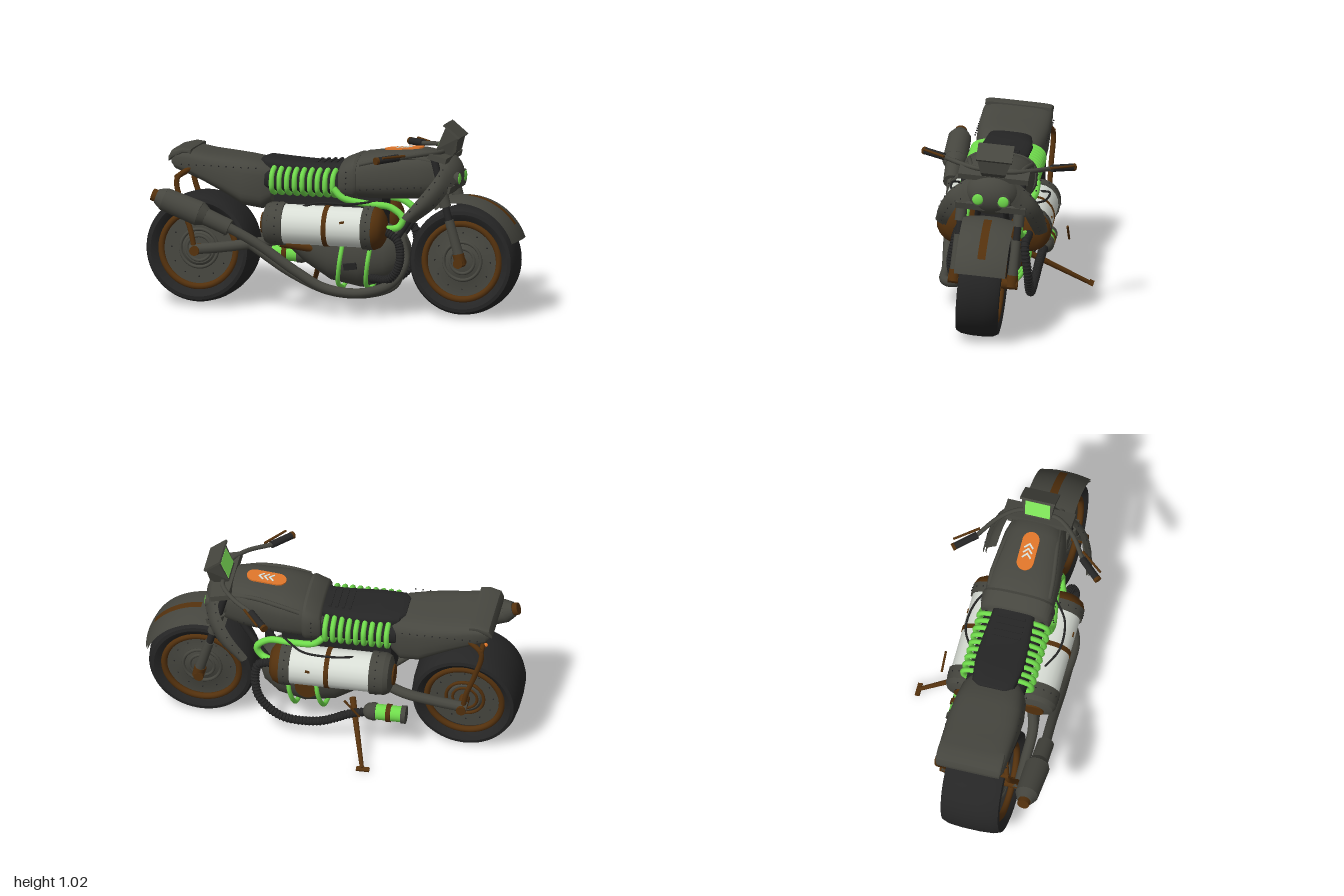
import * as THREE from 'three';
import { mergeGeometries, toCreasedNormals } from 'three/addons/utils/BufferGeometryUtils.js';
import { ParametricGeometry } from 'three/addons/geometries/ParametricGeometry.js';

const V = (p) => new THREE.Vector3(...p);
const paint = (name, color) => Object.assign(new THREE.MeshStandardMaterial({ color, side: THREE.DoubleSide }), { name });

export function createModel() {
  const grey = paint('gunmetal', 0x46463f), brown = paint('rust brown', 0x54310d), black = paint('rubber black', 0x252525);
  const green = paint('signal green', 0x70dc4c), white = paint('off white', 0xd9ded6), orange = paint('badge orange', 0xe0762a);
  const glow = paint('screen green', 0x8cfa62);
  const bike = new THREE.Group();
  bike.name = 'leaningBike';
  const rivets = [];

  function add(name, geo, mat, pos = [0, 0, 0], rot = [0, 0, 0]) {
    const m = new THREE.Mesh(geo, mat);
    m.name = name;
    m.position.set(...pos);
    m.rotation.set(...rot);
    bike.add(m);
    return m;
  }
  const box = (name, size, mat, pos, rot) => add(name, new THREE.BoxGeometry(...size), mat, pos, rot);
  function rod(name, a, b, r0, r1, mat) {
    const d = V(b).sub(V(a));
    const m = add(name, new THREE.CylinderGeometry(r1, r0, d.length(), 20), mat, V(a).add(V(b)).multiplyScalar(0.5).toArray());
    m.quaternion.setFromUnitVectors(new THREE.Vector3(0, 1, 0), d.normalize());
  }
  const curveOf = (pts) => new THREE.CatmullRomCurve3(pts.map(V));
  const tube = (name, pts, r, mat) => add(name, new THREE.TubeGeometry(curveOf(pts), 48, r, 10), mat);
  // Corrugated hose: a tube with rings along it
  function hose(name, pts, r, mat, n) {
    const c = curveOf(pts), parts = [new THREE.TubeGeometry(c, 48, r * 0.85, 10)];
    for (let i = 0; i <= n; i++) {
      const q = new THREE.Quaternion().setFromUnitVectors(new THREE.Vector3(0, 0, 1), c.getTangentAt(i / n));
      const p = c.getPointAt(i / n);
      parts.push(new THREE.TorusGeometry(r * 0.75, r * 0.25, 6, 12).applyQuaternion(q).translate(p.x, p.y, p.z));
    }
    add(name, mergeGeometries(parts), mat);
  }
  const superPoint = (t, p) => [Math.cos(t), Math.sin(t)].map((c) => Math.sign(c) * Math.abs(c) ** (2 / p));
  // Body lofted along x from sections [x, bottom, top, halfWidth]
  function loft(name, sections, mat, power = 2.8, n = 36) {
    const pos = [], idx = [], rows = sections.length;
    for (const [x, lo, hi, w] of sections) for (let i = 0; i < n; i++) {
      const [c, s] = superPoint((i / n) * Math.PI * 2, power);
      pos.push(x, (lo + hi) / 2 + s * (hi - lo) / 2, c * w);
    }
    for (const [x, lo, hi] of [sections[0], sections[rows - 1]]) pos.push(x, (lo + hi) / 2, 0);
    for (let i = 0; i < n; i++) {
      const j = (i + 1) % n, end = (rows - 1) * n;
      for (let r = 0; r < end; r += n) idx.push(r + i, r + i + n, r + j, r + j, r + i + n, r + j + n);
      idx.push(rows * n, i, j, rows * n + 1, end + j, end + i);
    }
    const g = new THREE.BufferGeometry();
    g.setAttribute('position', new THREE.Float32BufferAttribute(pos, 3));
    g.setIndex(idx);
    return add(name, toCreasedNormals(g, 0.7), mat);
  }
  const lathe = (pts, n = 48) => toCreasedNormals(new THREE.LatheGeometry(pts.map((p) => new THREE.Vector2(...p)), n), 0.6);
  const ringRivets = (x, y, z, r, n) => {
    for (let i = 0; i < n; i++) rivets.push([x, y + r * Math.sin(i / n * 6.283), z + r * Math.cos(i / n * 6.283)]);
  };

  // Wheels
  function wheel(name, x, w, innerRing) {
    const y = 0.297, R = 0.287;
    const tyre = lathe([[0.2, -w * 0.7], [0.23, -w * 0.92], [0.25, -w], [0.268, -w * 0.97], [0.281, -w * 0.75], [R, -w * 0.3],
      [R, w * 0.3], [0.281, w * 0.75], [0.268, w * 0.97], [0.25, w], [0.23, w * 0.92], [0.2, w * 0.7]], 64);
    add(name + 'Tyre', tyre.rotateX(Math.PI / 2), black, [x, y, 0]);
    for (const s of [1, -1]) {
      add(name + 'Rim', new THREE.TorusGeometry(0.2, 0.017, 10, 56), brown, [x, y, s * w * 0.78]);
      add(name + 'Disc', lathe([[0, w * 0.72], [0.08, w * 0.72], [0.1, w * 0.62], [0.195, w * 0.62]]).rotateX(s * Math.PI / 2), grey, [x, y, 0]);
      for (const r of [0.1, 0.065]) add(name + 'HubRing', new THREE.TorusGeometry(r, 0.009, 8, 36), s < 0 ? innerRing : grey, [x, y, s * w * 0.7]);
      for (let i = 0; i < 12; i++) rivets.push([x + 0.15 * Math.cos(i * 0.5236), y + 0.15 * Math.sin(i * 0.5236), s * w * 0.63]);
      rod(name + 'AxleCap', [x, y, s * 0.1], [x, y, s * (w + 0.07)], 0.028, 0.026, brown);
    }
  }
  wheel('rear', -0.713, 0.16, brown);
  wheel('front', 0.693, 0.113, grey);

  // Front fender with centre stripe
  const arcBand = (r, w, a0, a1, crown) => new ParametricGeometry((u, v, t) => {
    const a = a0 + (a1 - a0) * u, k = v * 2 - 1, q = r - crown * k * k;
    t.set(0.68 + q * Math.cos(a), 0.3 + q * Math.sin(a), k * w);
  }, 32, 10);
  add('frontFender', arcBand(0.335, 0.135, 0.36, 1.95, 0.015), grey);
  add('fenderLining', arcBand(0.325, 0.134, 0.36, 1.95, 0.015), grey);
  add('fenderStripe', arcBand(0.339, 0.021, 0.62, 1.5, 0), brown);

  // Fork, clamps, shields, lamps and handlebar
  for (const s of [1, -1]) {
    rod('forkFoot', [0.702, 0.285, s * 0.152], [0.688, 0.345, s * 0.152], 0.03, 0.03, brown);
    rod('forkLower', [0.69, 0.34, s * 0.152], [0.635, 0.52, s * 0.152], 0.027, 0.024, grey);
    rod('forkUpper', [0.64, 0.5, s * 0.152], [0.545, 0.85, s * 0.152], 0.019, 0.019, black);
    rod('forkSleeve', [0.615, 0.59, s * 0.152], [0.58, 0.72, s * 0.152], 0.03, 0.03, grey);
    const outer = curveOf([[0.6, 0.83, s * 0.12], [0.57, 0.75, s * 0.21], [0.5, 0.65, s * 0.265], [0.41, 0.54, s * 0.285]]);
    const inner = curveOf([[0.66, 0.72, s * 0.12], [0.63, 0.67, s * 0.185], [0.57, 0.59, s * 0.225], [0.47, 0.51, s * 0.25]]);
    for (const off of [0, 0.014]) add('forkShield', new ParametricGeometry((u, v, t) => {
      t.copy(outer.getPoint(u)).lerp(inner.getPoint(u), v);
      t.z += s * (0.026 * Math.sin(Math.PI * v) - off);
    }, 20, 8), grey);
    for (let i = 1; i < 8; i++) for (const v of [0.15, 0.85]) {
      const p = outer.getPoint(i / 8).lerp(inner.getPoint(i / 8), v);
      rivets.push([p.x, p.y, p.z + s * 0.012]);
    }
    add('headlamp', new THREE.SphereGeometry(0.03, 20, 14).scale(0.35, 1, 1), green, [0.664, 0.73, s * 0.067]);
    rod('headlampRing', [0.6, 0.73, s * 0.067], [0.666, 0.73, s * 0.067], 0.042, 0.036, grey);
    tube('handlebar', [[0.57, 0.865, 0], [0.57, 0.87, s * 0.1], [0.5, 0.868, s * 0.2], [0.38, 0.855, s * 0.29]], 0.012, grey);
    rod('grip', [0.385, 0.856, s * 0.285], [0.3, 0.848, s * 0.385], 0.019, 0.019, black);
    rod('gripEnd', [0.3, 0.848, s * 0.385], [0.29, 0.847, s * 0.397], 0.02, 0.02, brown);
    rod('lever', [0.42, 0.866, s * 0.28], [0.33, 0.866, s * 0.4], 0.007, 0.006, brown);
  }
  box('upperClamp', [0.1, 0.03, 0.37], grey, [0.57, 0.845, 0], [0, 0, -0.25]);
  box('lowerClamp', [0.08, 0.035, 0.37], grey, [0.605, 0.69, 0], [0, 0, -0.25]);
  add('lampHousing', new THREE.SphereGeometry(1, 32, 20).scale(0.108, 0.115, 0.145), grey, [0.565, 0.745, 0]);

  // Instrument screen in a housing that narrows downward
  const hood = new THREE.Shape([[0.54, 0.88], [0.56, 0.845], [0.61, 0.838], [0.645, 0.87], [0.658, 0.945], [0.592, 1]].map((p) => new THREE.Vector2(...p)));
  const housing = new THREE.ExtrudeGeometry(hood, { depth: 0.18, bevelEnabled: false }).translate(0, 0, -0.09);
  const hp = housing.attributes.position;
  for (let i = 0; i < hp.count; i++) hp.setZ(i, hp.getZ(i) * Math.min(1, 0.62 + (hp.getY(i) - 0.838) * 4));
  housing.computeVertexNormals();
  add('screenHousing', housing, grey);
  box('screenHood', [0.11, 0.012, 0.19], grey, [0.625, 0.978, 0], [0, 0, -0.68]);
  box('screen', [0.006, 0.1, 0.135], glow, [0.566, 0.938, 0], [0, 0, -0.409]);

  // Fuel tank, collar and badge
  loft('fuelTank', [[0.03, 0.63, 0.75, 0.15], [0.09, 0.605, 0.8, 0.175], [0.15, 0.6, 0.84, 0.185], [0.25, 0.6, 0.855, 0.187],
    [0.46, 0.61, 0.875, 0.165], [0.55, 0.63, 0.862, 0.14], [0.62, 0.67, 0.81, 0.09], [0.65, 0.71, 0.77, 0.04]], grey);
  loft('tankCollar', [[0.04, 0.605, 0.79, 0.18], [0.05, 0.595, 0.805, 0.188], [0.12, 0.585, 0.835, 0.197], [0.135, 0.595, 0.83, 0.19]], grey);
  for (const s of [1, -1]) {
    tube('tankRib', [[0.15, 0.79, s * 0.165], [0.25, 0.815, s * 0.16], [0.4, 0.835, s * 0.14], [0.53, 0.82, s * 0.12]], 0.012, grey);
    for (let i = 0; i < 10; i++) rivets.push([0.16 + i * 0.036, 0.66 + i * 0.003, s * (0.184 - i * 0.002)]);
    for (let i = 0; i < 5; i++) rivets.push([0.085, 0.63 + i * 0.03, s * 0.193]);
  }
  const pill = new THREE.Shape();
  pill.absarc(0.06, 0, 0.045, -Math.PI / 2, Math.PI / 2).absarc(-0.06, 0, 0.045, Math.PI / 2, Math.PI * 1.5);
  add('badge', new THREE.ExtrudeGeometry(pill, { depth: 0.008, bevelEnabled: false }).rotateX(-Math.PI / 2).rotateZ(0.095), orange, [0.355, 0.864, 0]);
  for (let i = -1; i <= 1; i++) for (const s of [1, -1])
    box('badgeChevron', [0.036, 0.004, 0.009], white, [0.355 + i * 0.027, 0.873 + i * 0.0026, s * 0.011], [0, s * 0.8, 0.095]);

  // Seat, ribbed side bellows and tail
  loft('seatCore', [[-0.36, 0.61, 0.75, 0.16], [0.05, 0.61, 0.745, 0.165]], black);
  loft('saddle', [[-0.4, 0.72, 0.785, 0.08], [-0.37, 0.71, 0.795, 0.115], [-0.25, 0.7, 0.785, 0.132], [-0.12, 0.7, 0.778, 0.128], [-0.04, 0.7, 0.78, 0.12], [0.06, 0.71, 0.79, 0.11]], black, 3.5);
  for (let i = 0; i < 4; i++) box('saddleRidge', [0.014, 0.008, 0.15], black, [-0.1 + i * 0.035, 0.779 + i * 0.002, 0]);
  for (let i = 0; i < 9; i++) {
    const pts = [];
    for (let k = 0; k < 24; k++) {
      const [c, s] = superPoint((k / 24) * Math.PI * 2, 3);
      pts.push(V([-0.315 + i * 0.041, 0.68 + s * 0.072, c * 0.188]));
    }
    add('bellowsRib', new THREE.TubeGeometry(new THREE.CatmullRomCurve3(pts, true), 64, 0.014, 8, true), green);
  }
  loft('tail', [[-0.86, 0.74, 0.79, 0.165], [-0.84, 0.71, 0.815, 0.178], [-0.76, 0.68, 0.818, 0.185], [-0.68, 0.645, 0.805, 0.187], [-0.58, 0.595, 0.797, 0.19],
    [-0.48, 0.535, 0.788, 0.185], [-0.38, 0.52, 0.775, 0.168], [-0.33, 0.56, 0.75, 0.14]], grey, 4);
  loft('tailLip', [[-0.875, 0.755, 0.785, 0.17], [-0.86, 0.765, 0.815, 0.178], [-0.8, 0.8, 0.83, 0.178], [-0.755, 0.8, 0.825, 0.175]], grey, 6);
  for (let i = 0; i < 11; i++) for (const s of [1, -1]) rivets.push([-0.8 + i * 0.04, 0.745, s * 0.187]);

  // Twin pressure canisters
  for (const s of [1, -1]) {
    const y = 0.462, z = s * 0.187;
    rod('canister', [-0.25, y, z], [0.21, y, z], 0.105, 0.105, white);
    rod('canisterBand', [-0.02, y, z], [0.005, y, z], 0.109, 0.109, brown);
    const cap = lathe([[0.113, 0], [0.113, 0.05], [0.1, 0.08], [0.07, 0.1], [0, 0.11]], 32);
    add('frontDome', cap, brown, [0.2, y, z], [0, 0, -Math.PI / 2]);
    rod('frontCollar', [0.19, y, z], [0.245, y, z], 0.115, 0.115, grey);
    rod('rearCollar', [-0.31, y, z], [-0.235, y, z], 0.112, 0.115, grey);
    add('rearDome', lathe([[0.112, 0], [0.1, 0.025], [0.06, 0.04], [0, 0.042]], 32), grey, [-0.31, y, z], [0, 0, Math.PI / 2]);
    rod('rearValve', [-0.358, y, z], [-0.34, y, z], 0.055, 0.06, brown);
    ringRivets(0.218, y, z, 0.116, 16);
    ringRivets(-0.27, y, z, 0.114, 16);
    box('rustPatch', [0.025, 0.012, 0.006], brown, [0.09, y + 0.035, z + s * 0.099], [0, 0, 0.2]);
    tube('greenHose', [[0.02, 0.66, s * 0.19], [0.07, 0.615, s * 0.19], [0.2, 0.585, s * 0.165], [0.32, 0.57, s * 0.145], [0.385, 0.515, s * 0.145], [0.36, 0.468, s * 0.15], [0.29, 0.46, s * 0.18]], 0.018, green);
    tube('cable', [[-0.14, 0.56, s * 0.2], [-0.04, 0.59, s * 0.255], [0.12, 0.59, s * 0.24], [0.24, 0.6, s * 0.15]], 0.006, black);
    // Swing arm, tail stay and lower frame
    tube('swingArm', [[-0.22, 0.38, s * 0.12], [-0.4, 0.35, s * 0.19], [-0.58, 0.32, s * 0.195], [-0.74, 0.3, s * 0.195]], 0.028, grey);
    rod('swingArmPivot', [-0.1, 0.33, s * 0.11], [-0.27, 0.355, s * 0.15], 0.024, 0.024, brown);
    tube('tailStay', [[-0.75, 0.73, s * 0.17], [-0.82, 0.67, s * 0.19], [-0.785, 0.52, s * 0.195], [-0.74, 0.4, s * 0.2], [-0.72, 0.31, s * 0.2]], 0.014, brown);
    tube('downTube', [[0.5, 0.65, s * 0.07], [0.42, 0.52, s * 0.08], [0.34, 0.4, s * 0.08]], 0.016, black);
  }
  rod('tailCrossbar', [-0.82, 0.68, -0.2], [-0.82, 0.68, 0.2], 0.014, 0.014, brown);
  add('tailLamp', new THREE.SphereGeometry(0.012, 12, 8), orange, [-0.834, 0.682, -0.13]);

  // Engine block and belly
  box('engineCore', [0.58, 0.28, 0.2], black, [-0.03, 0.48, 0]);
  loft('belly', [[-0.28, 0.34, 0.42, 0.06], [-0.16, 0.24, 0.48, 0.12], [-0.02, 0.155, 0.5, 0.155], [0.14, 0.125, 0.5, 0.165],
    [0.28, 0.16, 0.46, 0.145], [0.36, 0.22, 0.42, 0.1], [0.39, 0.28, 0.37, 0.04]], grey, 2.2);
  rod('engineCover', [0.12, 0.29, -0.13], [0.12, 0.29, -0.172], 0.075, 0.06, brown);
  box('engineVent', [0.07, 0.035, 0.02], black, [0.11, 0.25, 0.158], [0.2, 0, 0.15]);
  for (const s of [1, -1]) for (const x of [0.05, 0.2])
    tube('coolantLine', [[x + 0.02, 0.37, s * 0.17], [x + 0.008, 0.27, s * 0.185], [x - 0.01, 0.16, s * 0.13], [x - 0.015, 0.115, 0]], 0.012, green);

  // Exhaust with muffler on the left side
  tube('exhaustPipe', [[-0.55, 0.46, 0.3], [-0.36, 0.36, 0.28], [-0.15, 0.22, 0.26], [0, 0.14, 0.245], [0.2, 0.125, 0.235], [0.33, 0.17, 0.15], [0.385, 0.28, 0.08], [0.36, 0.4, 0.06]], 0.026, grey);
  tube('lowerPipe', [[-0.42, 0.34, 0.2], [-0.2, 0.19, 0.15], [0, 0.105, 0.12], [0.2, 0.1, 0.1], [0.33, 0.15, 0.06], [0.37, 0.28, 0.02]], 0.02, grey);
  rod('mufflerSleeve', [-0.65, 0.498, 0.3], [-0.51, 0.44, 0.297], 0.046, 0.044, grey);
  rod('mufflerShoulder', [-0.67, 0.506, 0.3], [-0.635, 0.492, 0.3], 0.066, 0.048, grey);
  rod('muffler', [-0.86, 0.574, 0.3], [-0.67, 0.506, 0.3], 0.061, 0.066, grey);
  rod('mufflerRear', [-0.9, 0.588, 0.3], [-0.86, 0.574, 0.3], 0.04, 0.061, grey);
  rod('mufflerTip', [-0.925, 0.596, 0.3], [-0.895, 0.586, 0.3], 0.032, 0.034, brown);

  // Reservoir and ridged hoses
  rod('reservoir', [-0.41, 0.243, -0.24], [-0.26, 0.243, -0.24], 0.042, 0.042, green);
  for (const x of [-0.425, -0.345, -0.265]) rod('reservoirBand', [x, 0.243, -0.24], [x + 0.025, 0.243, -0.24], 0.048, 0.048, x === -0.345 ? brown : grey);
  add('reservoirEnd', new THREE.SphereGeometry(0.046, 20, 12), grey, [-0.24, 0.243, -0.24]);
  hose('rightHose', [[0.3, 0.46, -0.19], [0.375, 0.42, -0.18], [0.37, 0.25, -0.21], [0.25, 0.13, -0.22], [0.05, 0.12, -0.22], [-0.12, 0.2, -0.23], [-0.24, 0.243, -0.24]], 0.025, black, 50);
  hose('leftHose', [[0.3, 0.45, 0.18], [0.37, 0.4, 0.19], [0.385, 0.29, 0.2], [0.33, 0.2, 0.18], [0.22, 0.19, 0.14]], 0.024, black, 30);

  // Kickstand and foot pedal
  rod('kickstand', [-0.12, 0.235, -0.14], [-0.235, 0.06, -0.495], 0.017, 0.011, brown);
  box('kickstandFoot', [0.07, 0.01, 0.025], brown, [-0.24, 0.06, -0.5], [-0.3, 0, 0]);
  rod('footPedal', [-0.2, 0.3, -0.366], [-0.12, 0.39, -0.358], 0.006, 0.006, brown);

  const bead = new THREE.IcosahedronGeometry(0.0045, 0);
  add('rivets', mergeGeometries(rivets.map((p) => bead.clone().translate(...p))), black);

  // Whole machine leans onto its stand
  bike.rotation.x = -0.085;
  bike.position.set(0, -0.003, 0.09);
  const model = new THREE.Group();
  model.name = 'motorcycle';
  model.add(bike);
  return model;
}
